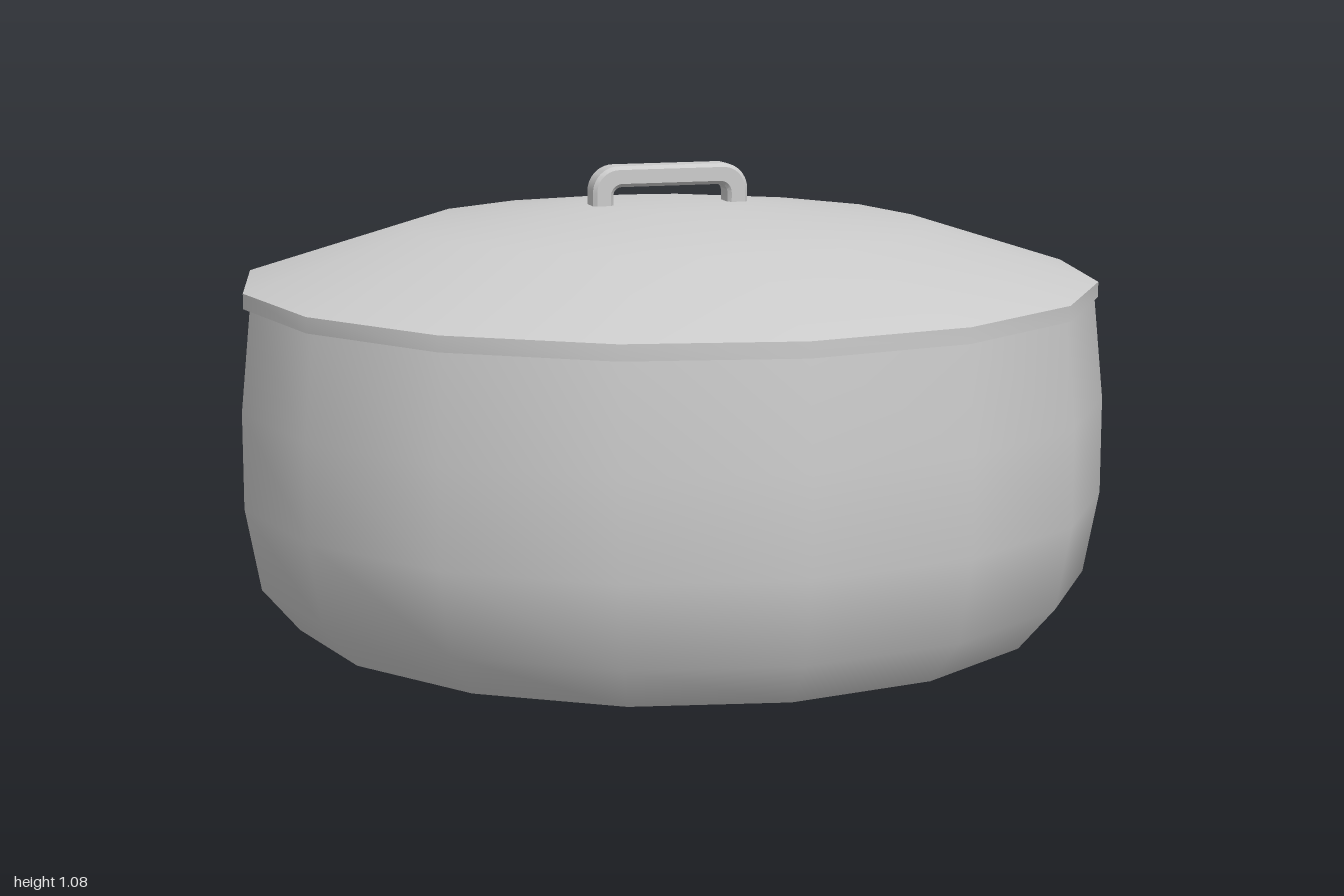
import * as THREE from 'three';
import { toCreasedNormals } from 'three/addons/utils/BufferGeometryUtils.js';

const SIDES = 16;
const CREASE = 0.65;
const material = new THREE.MeshStandardMaterial({ color: 0xcccccc });

function addMesh(parent, name, geometry) {
  const mesh = new THREE.Mesh(toCreasedNormals(geometry, CREASE), material);
  mesh.name = name;
  parent.add(mesh);
  return mesh;
}

// Profile runs so that its outside lies to the right of the direction of travel
function turned(profile) {
  return new THREE.LatheGeometry(profile.map(([r, y]) => new THREE.Vector2(r, y)), SIDES);
}

// Arch outline: two legs joined by a bar with rounded corners
function archShape(halfWidth, bottom, top, thickness, radius) {
  const inner = halfWidth - thickness;
  const innerTop = top - thickness;
  const r = 0.02;
  const s = new THREE.Shape();
  s.moveTo(-halfWidth, bottom);
  s.lineTo(-inner, bottom);
  s.lineTo(-inner, innerTop - r);
  s.absarc(-inner + r, innerTop - r, r, Math.PI, Math.PI / 2, true);
  s.lineTo(inner - r, innerTop);
  s.absarc(inner - r, innerTop - r, r, Math.PI / 2, 0, true);
  s.lineTo(inner, bottom);
  s.lineTo(halfWidth, bottom);
  s.lineTo(halfWidth, top - radius);
  s.absarc(halfWidth - radius, top - radius, radius, 0, Math.PI / 2, false);
  s.lineTo(-halfWidth + radius, top);
  s.absarc(-halfWidth + radius, top - radius, radius, Math.PI / 2, Math.PI, false);
  return s;
}

export function createModel() {
  const pot = new THREE.Group();
  pot.name = 'pot';

  // Shallow curved base and bulging wall
  addMesh(pot, 'potBody', turned([
    [0, 0], [0.6, 0.012], [0.88, 0.04], [0.965, 0.14],
    [1, 0.33], [1, 0.55], [0.975, 0.8],
  ]));

  // Lid with a thin upright rim and a low dome
  const lid = new THREE.Group();
  lid.name = 'lid';
  lid.position.set(-0.005, 0, 0.005);
  pot.add(lid);
  addMesh(lid, 'lidDome', turned([
    [0.93, 0.785], [0.987, 0.785], [0.987, 0.82],
    [0.6, 0.943], [0.19, 0.99], [0, 0.992],
  ]));

  // Arched grip standing on the lid
  const bevel = 0.008;
  const depth = 0.065 - 2 * bevel;
  const grip = new THREE.ExtrudeGeometry(archShape(0.185, 0.97, 1.08, 0.048, 0.06), {
    depth, curveSegments: 5, bevelEnabled: true, bevelSegments: 1,
    bevelThickness: bevel, bevelSize: bevel, bevelOffset: -bevel,
  });
  grip.translate(0, 0, -depth / 2 - 0.005);
  addMesh(lid, 'lidHandle', grip);

  return pot;
}
